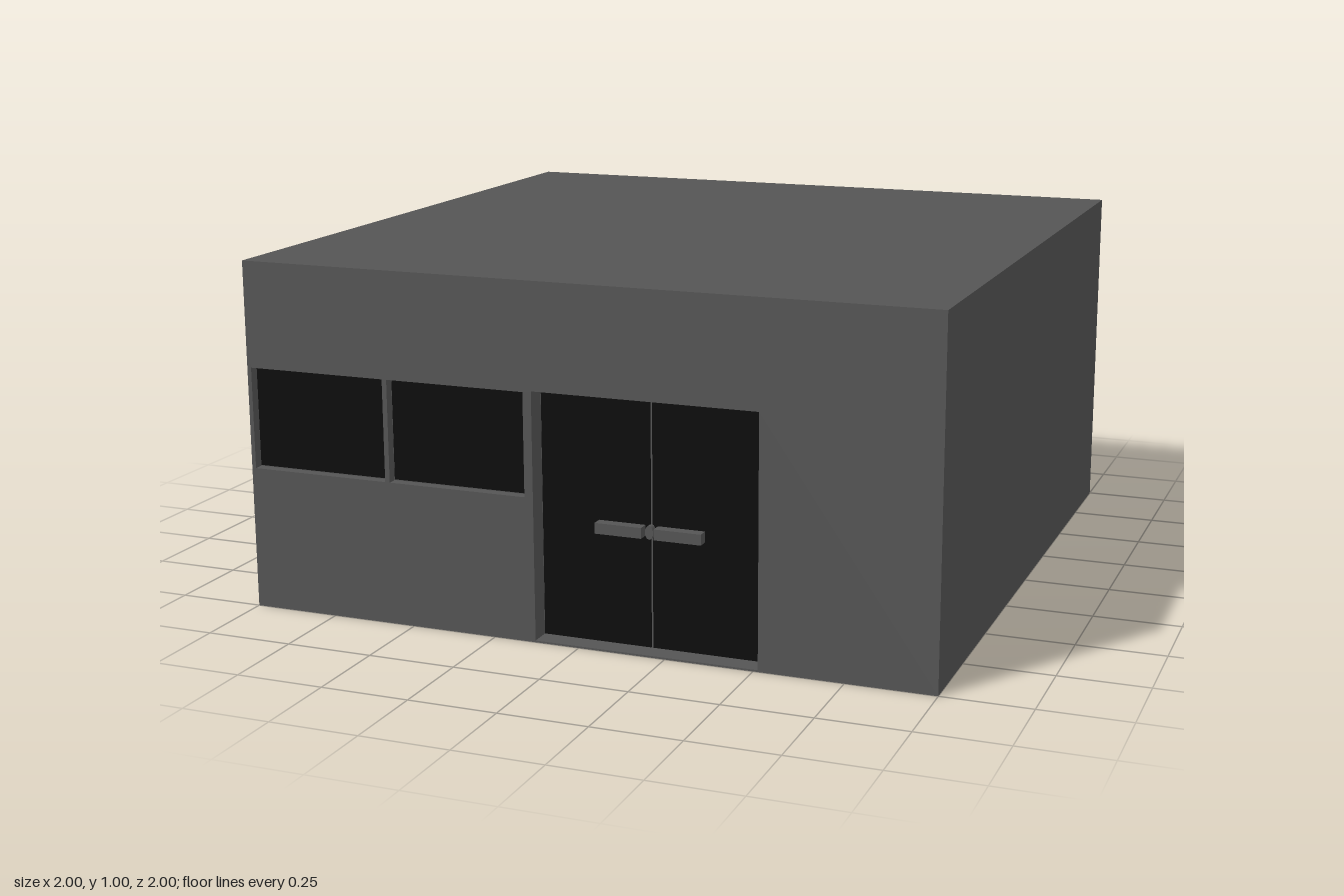
import * as THREE from 'three';

export function createModel() {
  const model = new THREE.Group();
  model.name = 'building';
  const wallGrey = new THREE.MeshStandardMaterial({ color: 0x555555 });
  wallGrey.name = 'wall grey';
  const glassBlack = new THREE.MeshStandardMaterial({ color: 0x0b0b0b });
  glassBlack.name = 'glass black';

  const doorZ = 0.94; // back plane of the door recess

  // box spanning two corners
  function box(name, material, x0, x1, y0, y1, z0, z1) {
    const mesh = new THREE.Mesh(new THREE.BoxGeometry(x1 - x0, y1 - y0, z1 - z0), material);
    mesh.position.set((x0 + x1) / 2, (y0 + y1) / 2, (z0 + z1) / 2);
    mesh.name = name;
    model.add(mesh);
    return mesh;
  }

  function rectangle(target, x0, x1, y0, y1) {
    target.moveTo(x0, y0);
    target.lineTo(x1, y0);
    target.lineTo(x1, y1);
    target.lineTo(x0, y1);
    target.closePath();
    return target;
  }

  // main block
  box('mainBlock', wallGrey, -1, 1, 0, 1, -1, doorZ);

  // front wall with openings for two windows and the double door
  const windows = [[-0.988, -0.576], [-0.562, -0.153]];
  const facade = rectangle(new THREE.Shape(), -1, 1, 0, 1);
  for (const [x0, x1] of windows) facade.holes.push(rectangle(new THREE.Path(), x0, x1, 0.408, 0.698));
  facade.holes.push(rectangle(new THREE.Path(), -0.128, 0.513, 0.005, 0.702));
  const front = new THREE.Mesh(
    new THREE.ExtrudeGeometry(facade, { depth: 1 - doorZ, bevelEnabled: false }), wallGrey);
  front.position.z = doorZ;
  front.name = 'frontWall';
  model.add(front);

  // window panes in shallow recesses, with a narrow frame behind
  for (const [x0, x1] of windows) {
    box('windowFrame', wallGrey, x0, x1, 0.408, 0.698, doorZ, 0.972);
    box('windowPane', glassBlack, x0 + 0.004, x1 - 0.004, 0.412, 0.694, 0.97, 0.978);
  }

  // door leaves, separated by a narrow gap, each with a horizontal handle
  const centre = 0.1925;
  for (const side of [-1, 1]) {
    const span = (a, b) => [centre + side * a, centre + side * b].sort((p, q) => p - q);
    box('doorLeaf', glassBlack, ...span(0.003, 0.318), 0.007, 0.7, doorZ - 0.002, doorZ + 0.004);
    box('doorHandle', wallGrey, ...span(0.018, 0.152), 0.32, 0.35, doorZ + 0.003, 0.975);
  }

  // lock between the handles
  const lock = new THREE.Mesh(new THREE.CylinderGeometry(0.012, 0.012, 0.02, 12), wallGrey);
  lock.rotation.x = Math.PI / 2;
  lock.scale.z = 1.6;
  lock.position.set(centre, 0.335, doorZ + 0.013);
  lock.name = 'doorLock';
  model.add(lock);

  return model;
}
